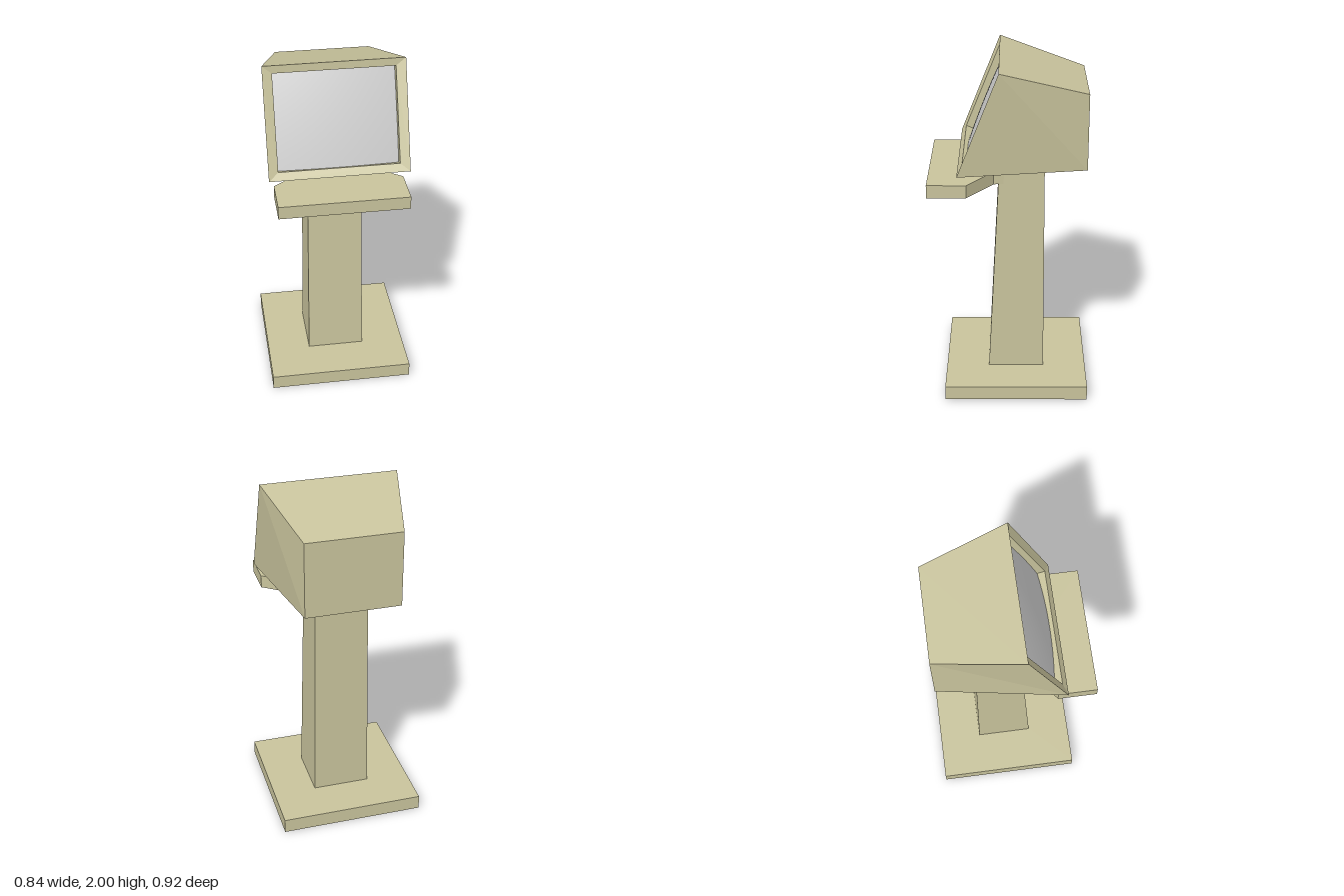
import * as THREE from 'three';

const bodyMat = new THREE.MeshStandardMaterial({ color: 0xc8c39c });
const screenMat = new THREE.MeshStandardMaterial({ color: 0xcccccc, side: THREE.DoubleSide });

// Flat-faced skin through rings of four corners, with optional end caps
function loft(rings, capStart, capEnd) {
  const pos = [];
  const quad = (a, b, c, d) => pos.push(...a, ...b, ...c, ...a, ...c, ...d);
  for (let r = 0; r < rings.length - 1; r++) {
    const a = rings[r], b = rings[r + 1];
    for (let i = 0; i < 4; i++) {
      const j = (i + 1) % 4;
      quad(a[i], a[j], b[j], b[i]);
    }
  }
  if (capStart) quad(...[...rings[0]].reverse());
  if (capEnd) quad(...rings[rings.length - 1]);
  const g = new THREE.BufferGeometry();
  g.setAttribute('position', new THREE.Float32BufferAttribute(pos, 3));
  g.computeVertexNormals();
  return g;
}

// Upright ring: bottom edge at (y0, z0), top edge at (y1, z1)
const uprightRing = (w, y0, z0, y1, z1) => [[-w, y0, z0], [w, y0, z0], [w, y1, z1], [-w, y1, z1]];

// Level ring: front edge at zf, back edge at zb
const levelRing = (wf, yf, zf, wb, yb, zb) => [[-wf, yf, zf], [wf, yf, zf], [wb, yb, zb], [-wb, yb, zb]];

export function createModel() {
  const model = new THREE.Group();
  const add = (name, geometry, material = bodyMat) => {
    const mesh = new THREE.Mesh(geometry, material);
    mesh.name = name;
    model.add(mesh);
    return mesh;
  };

  // Base plate
  add('base', new THREE.BoxGeometry(0.84, 0.085, 0.84)).position.set(0, 0.0425, -0.04);

  // Tapered post
  add('post', loft([
    levelRing(0.168, 0.08, 0.125, 0.168, 0.08, -0.205),
    levelRing(0.155, 1.355, 0.06, 0.155, 1.355, -0.2),
  ], true, true));

  // Flare between post and housing
  add('neck', loft([
    levelRing(0.155, 1.353, 0.06, 0.155, 1.353, -0.2),
    levelRing(0.395, 1.415, 0.29, 0.275, 1.41, -0.435),
  ], false, false));

  // Housing, bevelled bezel and screen recess in one skin
  const rim = { y0: 1.455, z0: 0.262, y1: 1.955, z1: 0.06 };
  const tilt = Math.atan2(rim.z0 - rim.z1, rim.y1 - rim.y0);
  const depth = 0.06, dy = depth * Math.sin(tilt), dz = depth * Math.cos(tilt);
  add('housing', loft([
    uprightRing(0.275, 1.41, -0.435, 1.85, -0.435),
    uprightRing(0.395, 1.415, 0.29, 2.0, 0.057),
    uprightRing(0.34, rim.y0, rim.z0, rim.y1, rim.z1),
    uprightRing(0.34, rim.y0 - dy, rim.z0 - dz, rim.y1 - dy, rim.z1 - dz),
  ], true, false));

  // Bulging screen
  const height = Math.hypot(rim.y1 - rim.y0, rim.z0 - rim.z1);
  const glass = new THREE.PlaneGeometry(0.68, height, 24, 16);
  const p = glass.attributes.position;
  for (let i = 0; i < p.count; i++) {
    const u = p.getX(i) / 0.34, v = p.getY(i) / (height / 2);
    p.setZ(i, -0.047 + 0.024 * (1 - u * u) + 0.008 * (1 - v * v));
  }
  glass.computeVertexNormals();
  const screen = add('screen', glass, screenMat);
  screen.position.set(0, (rim.y0 + rim.y1) / 2, (rim.z0 + rim.z1) / 2);
  screen.rotation.x = -tilt;

  // Shelf, narrowing back to the post
  const half = [[0.365, 0.46], [0.365, 0.24], [0.165, 0.09], [0.155, 0.03]];
  const outline = [...half, ...half.map(([x, z]) => [-x, z]).reverse()];
  const shape = new THREE.Shape(outline.map(([x, z]) => new THREE.Vector2(x, -z)));
  const shelf = new THREE.ExtrudeGeometry(shape, { depth: 0.075, bevelEnabled: false });
  shelf.rotateX(-Math.PI / 2);
  add('shelf', shelf).position.y = 1.28;

  return model;
}
